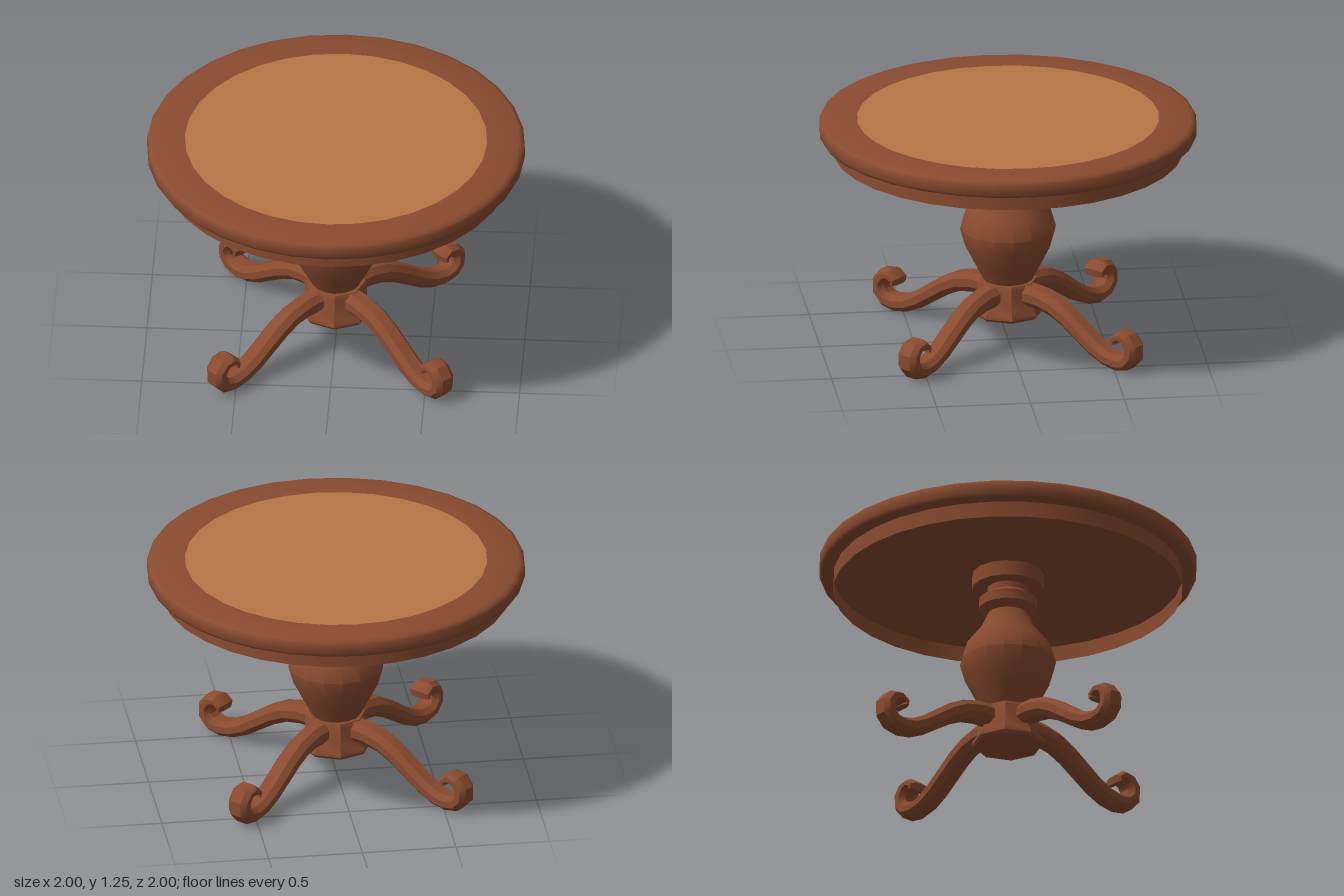
import * as THREE from 'three';
import { toCreasedNormals, mergeVertices } from 'three/addons/utils/BufferGeometryUtils.js';

const wood = new THREE.MeshStandardMaterial({ color: 0x8a4b30 });
wood.name = 'dark wood';
wood.side = THREE.DoubleSide;
const inlayWood = new THREE.MeshStandardMaterial({ color: 0xb87546 });
inlayWood.name = 'light inlay wood';

function add(parent, name, geometry, material = wood) {
  const mesh = new THREE.Mesh(geometry, material);
  mesh.name = name;
  parent.add(mesh);
  return mesh;
}

// Turned part: profile of [radius, y] from bottom to top
function turned(profile, sides, crease = 0.6) {
  const g = new THREE.LatheGeometry(profile.map(([r, y]) => new THREE.Vector2(r, y)), sides);
  return toCreasedNormals(g, crease);
}

// Scroll leg: bevelled section swept along [radius, y, half thickness]
function legGeometry() {
  const path = [
    [0.08, 0.285, 0.058], [0.22, 0.282, 0.055], [0.32, 0.26, 0.052], [0.41, 0.215, 0.05],
    [0.50, 0.155, 0.048], [0.59, 0.095, 0.046], [0.67, 0.057, 0.044], [0.745, 0.043, 0.043],
    [0.805, 0.054, 0.043], [0.843, 0.094, 0.042], [0.845, 0.145, 0.04],
    [0.815, 0.185, 0.036], [0.772, 0.195, 0.03], [0.738, 0.172, 0.024], [0.742, 0.15, 0.018],
  ];
  // Octagonal section as [normal, sideways] factors
  const section = [[1, -0.032], [1, 0.032], [0.4, 0.06], [-0.4, 0.06],
    [-1, 0.032], [-1, -0.032], [-0.4, -0.06], [0.4, -0.06]];
  const n = section.length;
  const pos = [], index = [];
  path.forEach(([r, y, h], i) => {
    const a = path[Math.max(i - 1, 0)], b = path[Math.min(i + 1, path.length - 1)];
    const t = new THREE.Vector2(b[0] - a[0], b[1] - a[1]).normalize();
    section.forEach(([k, z]) => pos.push(r - t.y * h * k, y + t.x * h * k, z));
    if (i === path.length - 1) return;
    for (let j = 0; j < n; j++) {
      const p = i * n + j, q = i * n + (j + 1) % n;
      index.push(p, q, q + n, p, q + n, p + n);
    }
  });
  // Close the tip of the scroll
  const end = (path.length - 1) * n;
  for (let j = 1; j < n - 1; j++) index.push(end, end + j, end + j + 1);
  const g = new THREE.BufferGeometry();
  g.setAttribute('position', new THREE.Float32BufferAttribute(pos, 3));
  g.setIndex(index);
  return toCreasedNormals(mergeVertices(g), 0.6);
}

export function createModel() {
  const table = new THREE.Group();
  table.name = 'round pedestal table';

  // Top with rounded rim, inlay and hollow apron
  add(table, 'tabletop', turned([
    [0, 1.147], [0.975, 1.147], [0.99, 1.153], [1, 1.17], [1, 1.222],
    [0.992, 1.238], [0.97, 1.247], [0.8, 1.247],
  ], 32, 0.9));
  const inlay = add(table, 'inlay', new THREE.CircleGeometry(0.8, 32), inlayWood);
  inlay.rotation.x = -Math.PI / 2;
  inlay.position.y = 1.247;
  add(table, 'apron', turned([[0.925, 1.06], [0.925, 1.147]], 32));

  // Turned column
  add(table, 'column', turned([
    [0.125, 0.335], [0.18, 0.44], [0.228, 0.535], [0.255, 0.63], [0.225, 0.73],
    [0.143, 0.835], [0.108, 0.915],
  ], 16));
  add(table, 'collar', turned([
    [0, 0.915], [0.115, 0.915], [0.155, 0.945], [0.155, 1.0], [0.11, 1.03], [0.11, 1.07],
  ], 16));
  add(table, 'mountingFlange', turned([[0, 1.065], [0.19, 1.065], [0.19, 1.147]], 16));

  // Faceted hub that carries the legs
  add(table, 'hub', turned([
    [0, 0.15], [0.18, 0.15], [0.19, 0.163], [0.19, 0.18], [0.165, 0.215],
    [0.165, 0.325], [0.155, 0.345], [0, 0.345],
  ], 8));

  // Four diagonal legs
  const leg = legGeometry();
  for (let i = 0; i < 4; i++) {
    add(table, 'leg', leg).rotation.y = Math.PI / 4 + i * Math.PI / 2;
  }
  return table;
}
